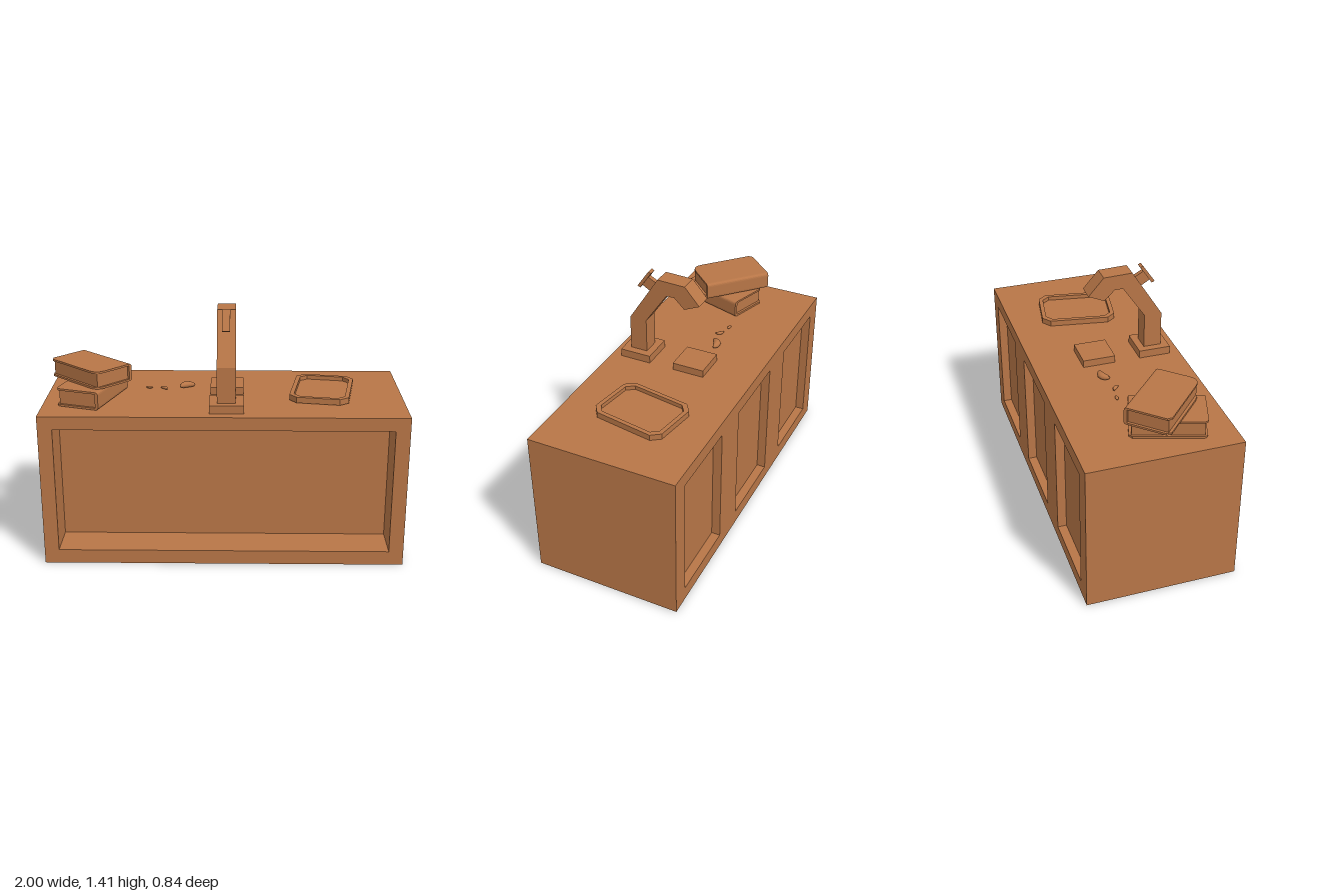
import * as THREE from 'three';

export function createModel() {
  const model = new THREE.Group();
  const clay = new THREE.MeshStandardMaterial({ color: 0xb87647 });
  clay.name = 'clay brown';

  const add = (parent, name, geometry) => {
    const mesh = new THREE.Mesh(geometry, clay);
    mesh.name = name;
    parent.add(mesh);
    return mesh;
  };
  const group = (name) => {
    const g = new THREE.Group();
    g.name = name;
    model.add(g);
    return g;
  };
  // Box given by its limits on each axis
  const box = (x0, x1, y0, y1, z0, z1) =>
    new THREE.BoxGeometry(x1 - x0, y1 - y0, z1 - z0)
      .translate((x0 + x1) / 2, (y0 + y1) / 2, (z0 + z1) / 2);
  const polygon = (pts) => new THREE.Shape(pts.map(([a, b]) => new THREE.Vector2(a, b)));
  const rectangle = (x0, x1, y0, y1) => polygon([[x0, y0], [x1, y0], [x1, y1], [x0, y1]]);
  const extrude = (shape, depth) =>
    new THREE.ExtrudeGeometry(shape, { depth, bevelEnabled: false, curveSegments: 4 });
  // Flat outline in x,z extruded from y0 to y1
  const slab = (shape, y0, y1) => extrude(shape, y1 - y0).rotateX(Math.PI / 2).translate(0, y1, 0);
  // Side profile in z,y extruded from x0 to x1
  const sideProfile = (pts, x0, x1) =>
    extrude(polygon(pts), x1 - x0).rotateY(-Math.PI / 2).translate(x1, 0, 0);

  // Counter: open front recess, solid core, three sunk panels behind
  const H = 0.87;
  const counter = group('counter');
  const frontFrame = rectangle(-1, 1, 0, H);
  frontFrame.holes.push(rectangle(-0.92, 0.92, 0.08, 0.795));
  add(counter, 'frontFrame', extrude(frontFrame, 0.22).translate(0, 0, 0.2));
  add(counter, 'counterCore', box(-1, 1, 0, H, -0.37, 0.2));
  const backFrame = rectangle(-1, 1, 0, H);
  for (const x of [-0.67, 0, 0.67]) backFrame.holes.push(rectangle(x - 0.225, x + 0.225, 0.08, 0.79));
  add(counter, 'backPanelFrame', extrude(backFrame, 0.05).translate(0, 0, -0.42));

  // Tap with angular neck and lever
  const tap = group('tap');
  add(tap, 'tapBase', box(-0.08, 0.108, H, 0.915, 0.18, 0.362));
  add(tap, 'tapNeck', sideProfile([
    [0.32, 0.915], [0.32, 1.115], [0.145, 1.39], [-0.018, 1.385], [-0.105, 1.285],
    [-0.015, 1.245], [0.045, 1.303], [0.092, 1.303], [0.22, 1.115], [0.22, 0.915],
  ], -0.038, 0.064));
  add(tap, 'leverStem', sideProfile([[0.231, 1.377], [0.261, 1.317], [0.2, 1.28], [0.165, 1.34]], 0, 0.026));
  add(tap, 'lever', sideProfile([[0.216, 1.408], [0.2, 1.4], [0.268, 1.299], [0.285, 1.307]], -0.009, 0.033));
  add(model, 'drainPlate', box(-0.08, 0.108, H, 0.912, -0.15, 0.035));

  // Tray with cut corners and a raised rim
  const octagon = (w, d, c) => polygon([
    [-w + c, -d], [w - c, -d], [w, -d + c], [w, d - c], [w - c, d], [-w + c, d], [-w, d - c], [-w, -d + c],
  ]);
  const tray = group('tray');
  tray.position.set(0.553, 0, -0.007);
  tray.rotation.y = -0.165;
  const rim = octagon(0.165, 0.216, 0.045);
  rim.holes.push(octagon(0.141, 0.192, 0.037));
  add(tray, 'trayFloor', slab(octagon(0.165, 0.216, 0.045), 0.874, 0.884));
  add(tray, 'trayRim', slab(rim, 0.884, 0.907));

  // Books: rounded spine on +x, covers overhanging the pages
  const book = (name, x, z, angle, y0, y1, corner) => {
    const g = group(name);
    g.position.set(x, 0, z);
    g.rotation.y = angle;
    const w = 0.125, d = 0.2, t = 0.011, r = 0.018;
    const cover = new THREE.Shape();
    cover.moveTo(w - r, -d);
    cover.lineTo(w - r, d);
    cover.lineTo(-w + corner, d);
    cover.quadraticCurveTo(-w, d, -w, d - corner);
    cover.lineTo(-w, -d + 0.02);
    cover.lineTo(-w + 0.02, -d);
    add(g, 'lowerCover', slab(cover, y0, y0 + t));
    add(g, 'upperCover', slab(cover, y1 - t, y1));
    add(g, 'pages', box(-w + 0.015, w - r, y0 + t, y1 - t, -d + 0.014, d - 0.014));
    const spine = new THREE.Shape();
    spine.moveTo(w - r, y0);
    spine.quadraticCurveTo(w, y0, w, y0 + r);
    spine.lineTo(w, y1 - r);
    spine.quadraticCurveTo(w, y1, w - r, y1);
    add(g, 'spine', extrude(spine, 2 * d).translate(0, 0, -d));
  };
  book('lowerBook', -0.738, 0.098, -0.31, 0.873, 0.974, 0.03);
  book('upperBook', -0.746, 0.066, 0.82, 0.976, 1.075, 0.06);

  // Pebbles: spheres stretched and bent into bean shapes
  const pebble = (name, x, y, z, length, height, width, bend, angle) => {
    const geo = new THREE.SphereGeometry(0.5, 16, 10);
    const p = geo.attributes.position;
    for (let i = 0; i < p.count; i++) {
      const u = p.getX(i) * 2;
      p.setXYZ(i, p.getX(i) * length, p.getY(i) * height, p.getZ(i) * width + bend * (u * u - 0.4));
    }
    geo.computeVertexNormals();
    const mesh = add(model, name, geo);
    mesh.position.set(x, y, z);
    mesh.rotation.y = angle;
  };
  pebble('largeBean', -0.218, 0.889, -0.081, 0.095, 0.036, 0.043, 0.018, 0.4);
  pebble('mediumBean', -0.346, 0.88, -0.051, 0.055, 0.018, 0.02, 0.008, -0.75);
  pebble('smallBean', -0.433, 0.876, -0.072, 0.038, 0.013, 0.018, 0, -0.1);

  return model;
}
